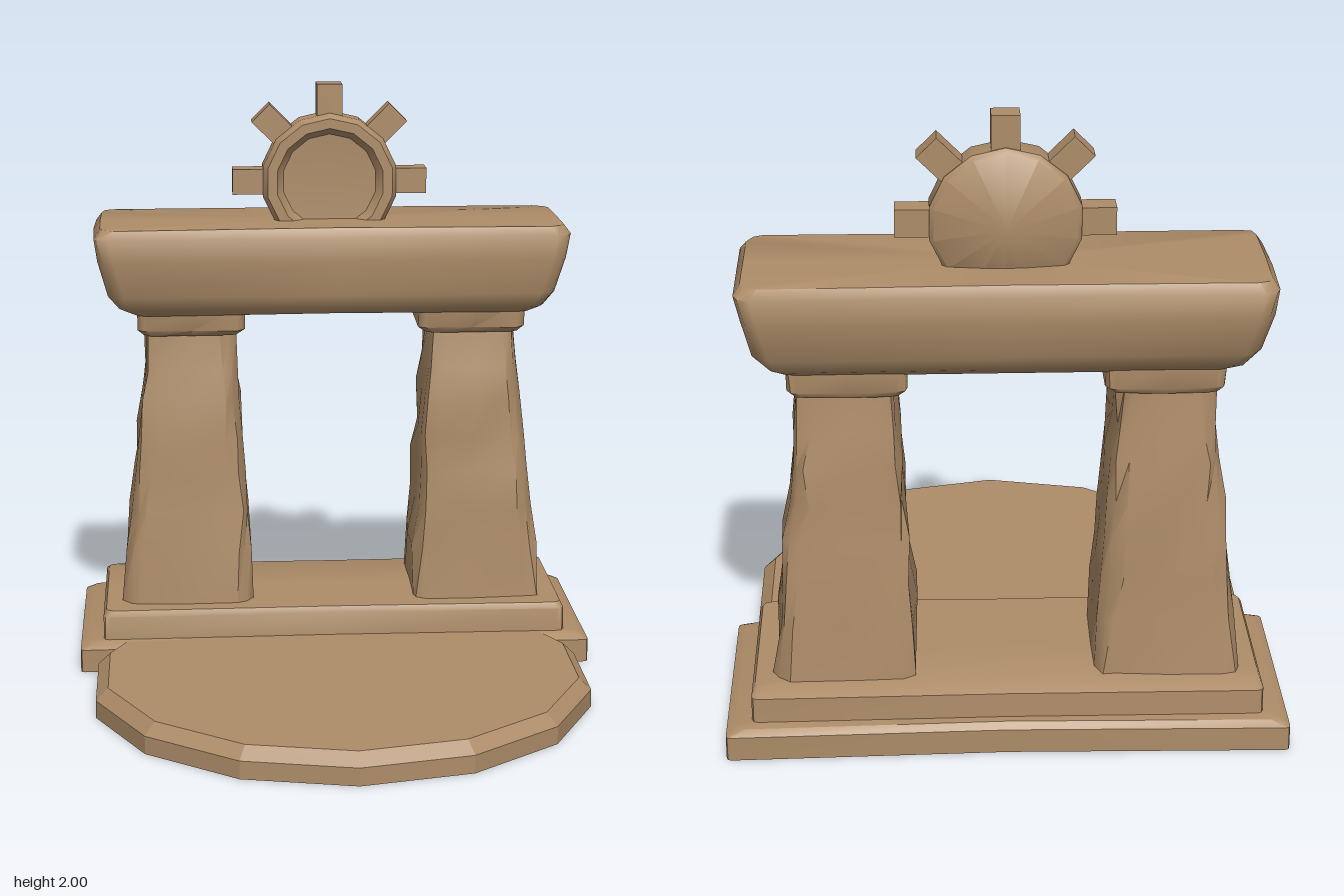
import * as THREE from 'three';
import { toCreasedNormals } from 'three/addons/utils/BufferGeometryUtils.js';

// Stacked block: each section is [y, xMin, xMax, zMin, zMax, cornerCut].
// wear roughens the surface; dip pulls in the middle of the long sides.
function stone(sections, { wear = 0, dip = 0, seed = 1, crease = 0.7 } = {}) {
  let state = seed * 7919;
  const rand = () => ((state = (state * 16807) % 2147483647) / 2147483647) - 0.5;
  const pos = [], idx = [], n = 16;
  for (const [y, x0, x1, z0, z1, c] of sections) {
    const hx = (x1 - x0) / 2, hz = (z1 - z0) / 2, k = c * 0.3;
    const quarter = [[hx, 0], [hx, hz - c], [hx - k, hz - k], [hx - c, hz]];
    const back = quarter.map(([x, z]) => [-x, -z]);
    const ring = [
      ...quarter, [0, hz - dip], [c - hx, hz], [k - hx, hz - k], [-hx, hz - c],
      ...back, [0, dip - hz], [hx - c, -hz], [hx - k, k - hz], [hx, c - hz],
    ];
    for (const [x, z] of ring) {
      pos.push((x0 + x1) / 2 + x + rand() * wear, y + rand() * wear * 0.5, (z0 + z1) / 2 + z + rand() * wear);
    }
  }
  const last = sections.length - 1;
  for (let s = 0; s < last; s++) {
    for (let i = 0; i < n; i++) {
      const a = s * n + i, b = s * n + (i + 1) % n;
      idx.push(a, a + n, b, b, a + n, b + n);
    }
  }
  // End caps
  for (const s of [0, last]) {
    const [y, x0, x1, z0, z1] = sections[s];
    const centre = pos.length / 3;
    pos.push((x0 + x1) / 2, y, (z0 + z1) / 2);
    for (let i = 0; i < n; i++) {
      const a = s * n + i, b = s * n + (i + 1) % n;
      if (s === 0) idx.push(centre, a, b);
      else idx.push(centre, b, a);
    }
  }
  const g = new THREE.BufferGeometry();
  g.setAttribute('position', new THREE.Float32BufferAttribute(pos, 3));
  g.setIndex(idx);
  return toCreasedNormals(g, crease);
}

export function createModel() {
  const model = new THREE.Group();
  model.name = 'stoneGate';
  const sandstone = new THREE.MeshStandardMaterial({ color: 0xad8c68 });
  sandstone.name = 'sandstone';
  const add = (name, geometry, parent = model) => {
    const mesh = new THREE.Mesh(geometry, sandstone);
    mesh.name = name;
    parent.add(mesh);
    return mesh;
  };

  // Fourteen-sided forecourt with a bevelled rim
  const court = [[0, 0], [0.847, 0], [0.847, 0.06], [0.805, 0.1], [0, 0.1]].map(p => new THREE.Vector2(...p));
  add('forecourt', toCreasedNormals(new THREE.LatheGeometry(court, 14), 0.3)).position.z = 0.085;

  // Two-step plinth
  add('plinthLower', stone([
    [0, -0.89, 0.89, -0.93, -0.185, 0.015],
    [0.08, -0.89, 0.89, -0.93, -0.185, 0.015],
    [0.1, -0.86, 0.86, -0.91, -0.21, 0.03],
  ], { dip: 0.02 }));
  add('plinthUpper', stone([
    [0.09, -0.81, 0.81, -0.87, -0.235, 0.02],
    [0.18, -0.81, 0.81, -0.865, -0.24, 0.02],
    [0.2, -0.8, 0.8, -0.82, -0.25, 0.03],
  ], { dip: 0.008 }));

  // Tapering weathered pillars with square capitals
  const pillar = [
    [0.19, 0.282, 0.737, -0.785, -0.325, 0.05],
    [0.38, 0.292, 0.722, -0.775, -0.333, 0.05],
    [0.52, 0.302, 0.708, -0.765, -0.342, 0.06],
    [0.66, 0.31, 0.698, -0.755, -0.352, 0.05],
    [0.78, 0.318, 0.68, -0.745, -0.358, 0.06],
    [0.92, 0.325, 0.67, -0.735, -0.365, 0.05],
    [1.02, 0.335, 0.655, -0.722, -0.385, 0.05],
    [1.17, 0.342, 0.648, -0.712, -0.4, 0.05],
  ];
  const capital = [
    [1.15, 0.325, 0.655, -0.725, -0.385, 0.03],
    [1.17, 0.303, 0.672, -0.74, -0.367, 0.03],
    [1.25, 0.303, 0.675, -0.74, -0.362, 0.03],
  ];
  for (const [side, sign] of [['left', 1], ['right', -1]]) {
    const place = list => list.map(([y, a, b, ...rest]) => (sign > 0 ? [y, a, b, ...rest] : [y, -b, -a, ...rest]));
    add(side + 'Pillar', stone(place(pillar), { wear: 0.022, seed: sign > 0 ? 5 : 11, crease: 0.6 }));
    add(side + 'Capital', stone(place(capital), { wear: 0.006, seed: 3 }));
  }

  // Rounded lintel, wider at the top
  add('lintel', stone([
    [1.225, -0.69, 0.69, -0.73, -0.36, 0.05],
    [1.25, -0.735, 0.735, -0.765, -0.325, 0.05],
    [1.3, -0.77, 0.77, -0.795, -0.308, 0.05],
    [1.42, -0.805, 0.805, -0.81, -0.3, 0.05],
    [1.5, -0.822, 0.822, -0.81, -0.3, 0.05],
    [1.532, -0.8, 0.8, -0.79, -0.315, 0.05],
  ], { wear: 0.008, dip: 0.006, seed: 9, crease: 0.9 }));

  // Sun emblem: recessed front, raised rim and shallow cone behind
  const sun = new THREE.Group();
  sun.name = 'sun';
  sun.position.set(0, 1.665, -0.56);
  model.add(sun);
  const disc = [
    [0, -0.115], [0.225, -0.06], [0.238, -0.045], [0.238, 0.045],
    [0.222, 0.07], [0.188, 0.07], [0.165, 0.035], [0, 0.025],
  ].map(p => new THREE.Vector2(...p));
  add('sunDisc', toCreasedNormals(new THREE.LatheGeometry(disc, 14).rotateX(Math.PI / 2), 0.65), sun);
  for (let i = 0; i < 5; i++) {
    const ray = new THREE.BoxGeometry(0.15, 0.088, 0.08);
    ray.translate(0.263, 0, 0).rotateZ(i * Math.PI / 4);
    add('sunRay', ray, sun);
  }
  return model;
}
